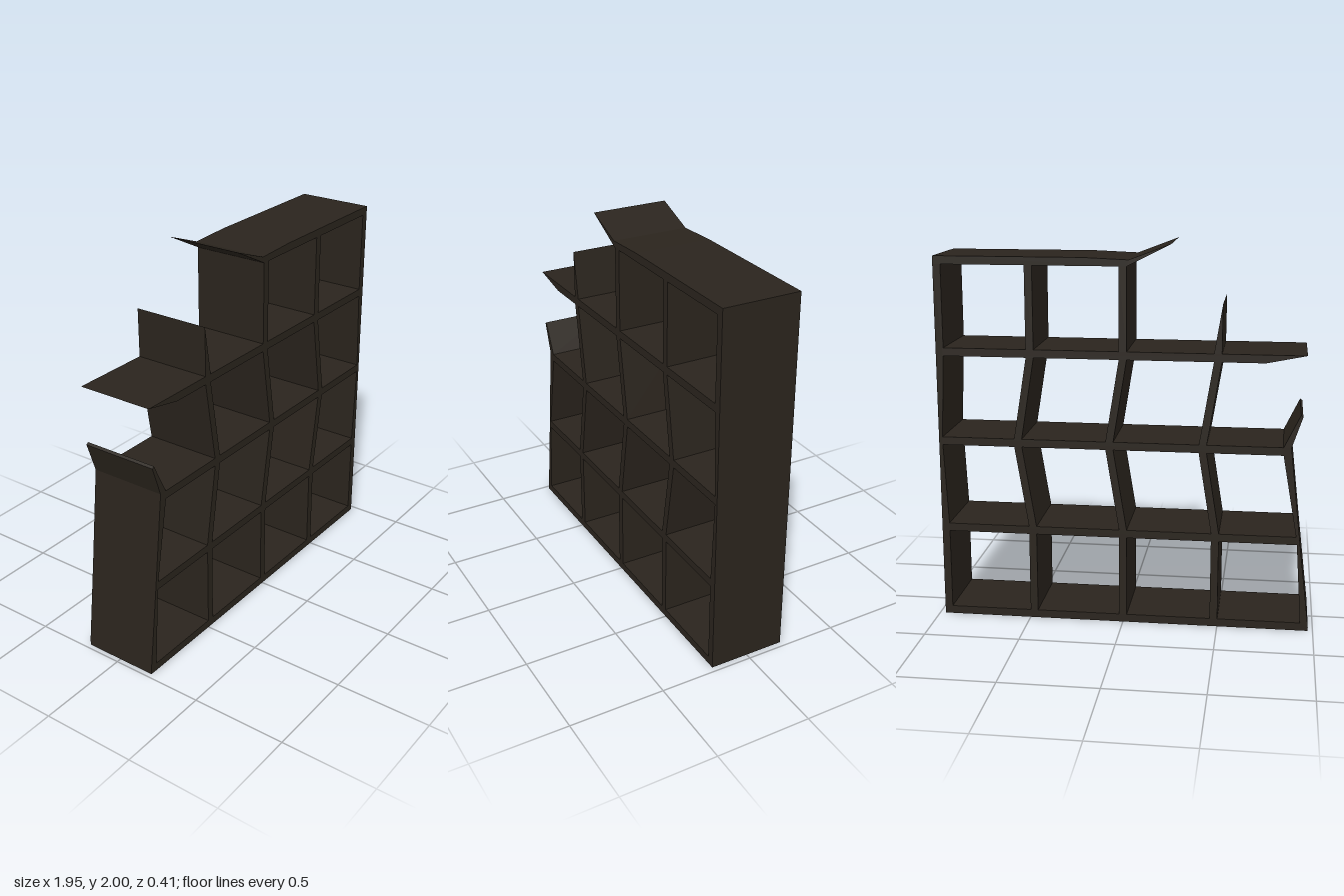
import * as THREE from 'three';

const DEPTH = 0.405;
const material = new THREE.MeshStandardMaterial({ color: 0x2a241d, flatShading: true });

// Board cut from a front outline and extruded through the shelf depth
function board(name, points) {
  const shape = new THREE.Shape(points.map(([x, y]) => new THREE.Vector2(x, y)));
  const geometry = new THREE.ExtrudeGeometry(shape, { depth: DEPTH, bevelEnabled: false });
  geometry.translate(0, 0, -DEPTH / 2);
  const mesh = new THREE.Mesh(geometry, material);
  mesh.name = name;
  return mesh;
}

export function createModel() {
  const group = new THREE.Group();
  group.name = 'brokenBookcase';
  const add = (name, points) => group.add(board(name, points));

  // Horizontal boards, the upper ones ending in broken points
  add('base', [[-0.975, 0], [0.97, 0], [0.97, 0.042], [-0.97, 0.042]]);
  add('lowerShelf', [[-0.905, 0.47], [0.935, 0.47], [0.935, 0.512], [-0.9, 0.512]]);
  add('middleShelf', [[-0.825, 0.943], [0.955, 0.943], [0.955, 0.985], [-0.82, 0.985]]);
  add('upperShelf', [[-0.925, 1.457], [-0.72, 1.415], [0.935, 1.415], [0.935, 1.457]]);
  add('topBoard', [[-0.245, 2], [-0.02, 1.885], [0.97, 1.885], [0.97, 1.927], [0.2, 1.927], [-0.03, 1.918]]);

  // Outer sides
  add('rightwardSide', [[0.97, 0.042], [0.97, 1.885], [0.93, 1.885], [0.93, 1.435],
    [0.952, 0.965], [0.93, 0.49], [0.93, 0.042]]);
  add('leaningSide', [[-0.975, 0.02], [-0.933, 0.04], [-0.902, 0.49], [-0.82, 0.95], [-0.82, 0.985],
    [-0.902, 1.155], [-0.913, 1.145], [-0.86, 0.985], [-0.915, 0.51]]);

  // Dividers tier by tier: bottom y, top y, bottom shift, top shift
  const tiers = [
    [0.042, 0.47, 0, 0],
    [0.512, 0.943, 0, 0.07],
    [0.985, 1.415, 0.07, 0],
    [1.457, 1.885, 0, 0],
  ];
  const w = 0.02;
  [-0.481, 0, 0.479].forEach((x, column) => {
    tiers.forEach(([y0, y1, s0, s1], tier) => {
      if (column === 0 && tier === 3) return;
      add('divider', [[x + s0 - w, y0], [x + s0 + w, y0], [x + s1 + w, y1], [x + s1 - w, y1]]);
    });
  });
  add('brokenDivider', [[-0.501, 1.457], [-0.461, 1.457], [-0.502, 1.71]]);

  return group;
}
